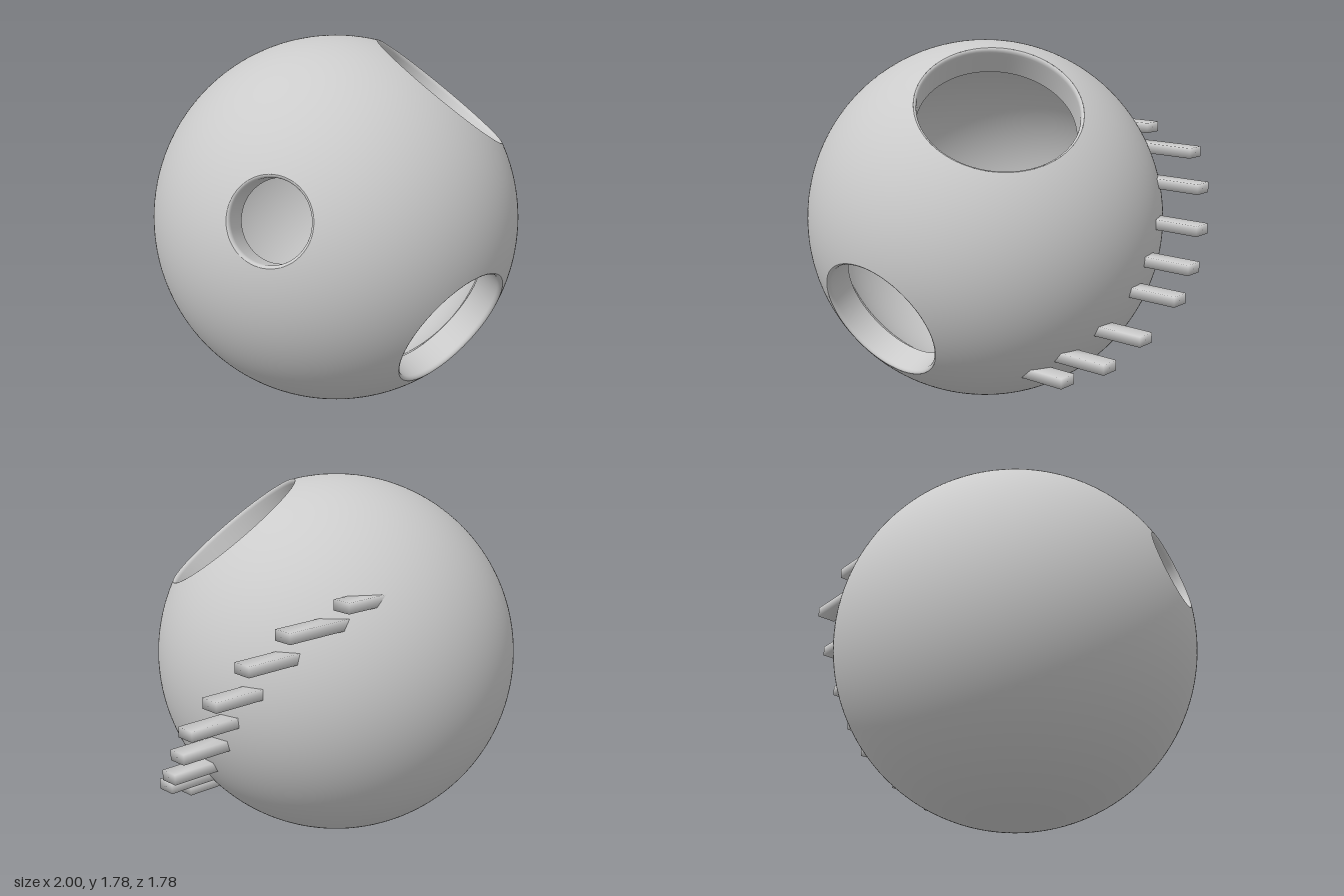
import * as THREE from 'three';
import { mergeVertices } from 'three/addons/utils/BufferGeometryUtils.js';

const OUTER = 0.89, INNER = 0.755, LIP = 0.014;
const CENTRE = new THREE.Vector3(-0.11, 0.89, 0);

// Round openings: direction from the sphere centre and rim radius
const HOLES = [
  { name: 'frontOpening', dir: new THREE.Vector3(0, -0.446, 0.895).normalize(), r: 0.33 },
  { name: 'topOpening', dir: new THREE.Vector3(0.475, 0.775, 0.41).normalize(), r: 0.39 },
  { name: 'sideOpening', dir: new THREE.Vector3(-0.87, 0.29, 0.385).normalize(), r: 0.202 },
];

// Sphere with openings: triangles inside a hole are dropped, and the inside
// corners of triangles crossing its edge are pulled out onto the rim.
function shellGeometry(radius, shrink, inward) {
  const source = new THREE.IcosahedronGeometry(1, 40).attributes.position;
  const limits = HOLES.map((h) => Math.asin((h.r - shrink) / radius));
  const positions = [], normals = [];
  for (let i = 0; i < source.count; i += 3) {
    const tri = [0, 1, 2].map((k) => new THREE.Vector3().fromBufferAttribute(source, i + k).normalize());
    let keep = true;
    HOLES.forEach(({ dir }, h) => {
      const inside = tri.map((v) => v.angleTo(dir) < limits[h]);
      if (inside.every(Boolean)) keep = false;
      tri.forEach((v, k) => {
        if (!inside[k]) return;
        const side = v.clone().addScaledVector(dir, -v.dot(dir)).normalize();
        v.copy(dir).multiplyScalar(Math.cos(limits[h])).addScaledVector(side, Math.sin(limits[h]));
      });
    });
    if (!keep) continue;
    if (inward) tri.reverse();
    const s = inward ? -1 : 1;
    for (const v of tri) {
      positions.push(v.x * radius, v.y * radius, v.z * radius);
      normals.push(v.x * s, v.y * s, v.z * s);
    }
  }
  const geometry = new THREE.BufferGeometry();
  geometry.setAttribute('position', new THREE.Float32BufferAttribute(positions, 3));
  geometry.setAttribute('normal', new THREE.Float32BufferAttribute(normals, 3));
  return geometry;
}

// Straight wall of an opening with a softly rounded outer lip
function openingWall(r) {
  const outerD = Math.sqrt(OUTER ** 2 - r ** 2);
  const wallR = r - LIP;
  const innerD = Math.sqrt(INNER ** 2 - wallR ** 2);
  const profile = [new THREE.Vector2(wallR, innerD), new THREE.Vector2(wallR, outerD - 0.04)];
  for (let i = 0; i <= 5; i++) {
    const a = (i / 5) * Math.PI / 2;
    profile.push(new THREE.Vector2(r - LIP * Math.cos(a), outerD - 0.02 + 0.02 * Math.sin(a)));
  }
  return new THREE.LatheGeometry(profile, 72);
}

// Flat bar with normals shared across its corners
function barGeometry(length) {
  const box = new THREE.BoxGeometry(length, 0.05, 0.095);
  box.deleteAttribute('normal');
  box.deleteAttribute('uv');
  const merged = mergeVertices(box);
  merged.computeVertexNormals();
  return merged;
}

export function createModel() {
  const model = new THREE.Group();
  model.name = 'hollowSphere';
  const grey = new THREE.MeshStandardMaterial({ color: 0xcccccc });
  const greyDouble = new THREE.MeshStandardMaterial({ color: 0xcccccc, side: THREE.DoubleSide });

  const add = (name, geometry, material, parent) => {
    const mesh = new THREE.Mesh(geometry, material);
    mesh.name = name;
    parent.add(mesh);
    return mesh;
  };

  // Thick hollow body
  const body = new THREE.Group();
  body.name = 'body';
  body.position.copy(CENTRE);
  model.add(body);
  add('outerShell', shellGeometry(OUTER, 0, false), grey, body);
  add('innerShell', shellGeometry(INNER, LIP, true), grey, body);
  for (const { name, dir, r } of HOLES) {
    const wall = add(name, openingWall(r), greyDouble, body);
    wall.quaternion.setFromUnitVectors(new THREE.Vector3(0, 1, 0), dir);
  }

  // Curved row of bars on the left side: outer end x, height y, depth z
  const bars = new THREE.Group();
  bars.name = 'sideBars';
  model.add(bars);
  const length = 0.38;
  const bar = barGeometry(length);
  [
    [0.465, 1.335, -0.625], [0.755, 1.245, -0.57], [0.88, 1.1, -0.45],
    [0.96, 0.93, -0.325], [1.0, 0.775, -0.2], [0.985, 0.64, -0.115],
    [0.915, 0.475, 0.05], [0.825, 0.36, 0.2], [0.65, 0.275, 0.285],
  ].forEach(([x, y, z], i) => {
    add(`sideBar${i + 1}`, bar, grey, bars).position.set(x - length / 2, y, z);
  });

  return model;
}
